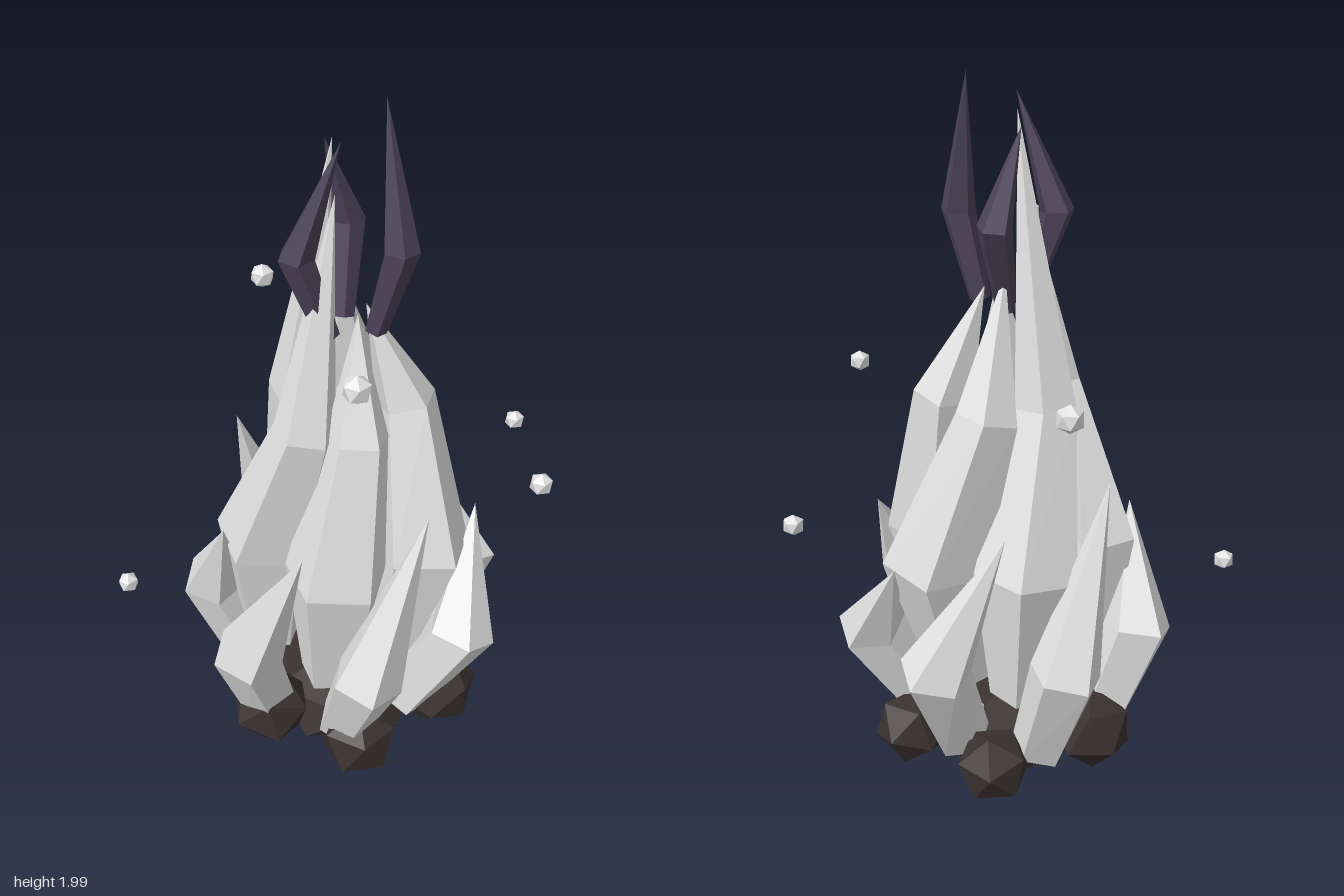
import * as THREE from 'three';

const material = (name, color) => {
  const m = new THREE.MeshStandardMaterial({ color, flatShading: true });
  m.name = name;
  return m;
};
const vec = (x, y, z) => new THREE.Vector3(x, y, z);
const polar = (deg, r, y) => {
  const a = THREE.MathUtils.degToRad(deg);
  return vec(Math.cos(a) * r, y, Math.sin(a) * r);
};
// Icosahedron standing on one corner
const icosahedron = (r) =>
  new THREE.IcosahedronGeometry(r, 0).rotateX(-Math.atan((1 + Math.sqrt(5)) / 2));

// Five-sided tongue through the given centres, rings square to the path, ending in a point
function tongue(centres, radii, facing) {
  const sides = 5, last = centres.length - 1, pts = [];
  const rings = centres.map((c, k) => {
    const along = centres[Math.min(k + 1, last)].clone().sub(centres[Math.max(k - 1, 0)]).normalize();
    const tilt = new THREE.Quaternion().setFromUnitVectors(vec(0, 1, 0), along);
    return Array.from({ length: sides }, (_, i) =>
      polar(facing + (i * 360) / sides, radii[k], 0).applyQuaternion(tilt).add(c));
  });
  const tri = (...v) => v.forEach((p) => pts.push(p.x, p.y, p.z));
  for (let i = 0; i < sides; i++) {
    const j = (i + 1) % sides;
    tri(centres[0], rings[0][i], rings[0][j]);
    for (let k = 0; k < last; k++) {
      const a = rings[k], b = rings[k + 1];
      tri(a[i], b[i], a[j]);
      if (radii[k + 1] > 0) tri(a[j], b[i], b[j]);
    }
  }
  const g = new THREE.BufferGeometry();
  g.setAttribute('position', new THREE.Float32BufferAttribute(pts, 3));
  g.computeVertexNormals();
  return g;
}

export function createModel() {
  const model = new THREE.Group();
  model.name = 'campfire';
  const coal = material('charred coal', 0x3b3230);
  const flame = material('pale flame', 0xe2e2e2);
  const smoke = material('dark violet smoke', 0x4d4359);
  const add = (name, geometry, mat, parent = model) => {
    const mesh = new THREE.Mesh(geometry, mat);
    mesh.name = name;
    parent.add(mesh);
    return mesh;
  };
  const group = (name) => {
    const g = new THREE.Group();
    g.name = name;
    model.add(g);
    return g;
  };

  // Flattened ember bed, one corner pointing down
  add('emberBed', icosahedron(0.26).scale(1, 0.47, 1), coal).position.set(0.03, 0.13, 0);

  // Ring of coals: x, y, z, radius
  const coals = group('coals');
  [
    [0.03, 0.185, 0.3, 0.115], [0.29, 0.2, 0.15, 0.125], [0.3, 0.19, -0.14, 0.11],
    [0.06, 0.2, -0.33, 0.105], [-0.21, 0.22, -0.18, 0.12], [-0.21, 0.21, 0.16, 0.12],
  ].forEach(([x, y, z, r], i) => {
    const rock = add('coal', icosahedron(r), coal, coals);
    rock.position.set(x, y, z);
    rock.rotation.set(i * 1.3, i * 0.9, i * 0.5);
  });

  // Outer flames: angle, belly distance, tip height, tip radius
  const outer = group('outerFlames');
  [
    [85, 0.385, 1.0, 0.37], [36, 0.405, 0.815, 0.4], [-13, 0.42, 0.77, 0.42], [-58, 0.4, 0.905, 0.35],
    [-111, 0.37, 1.0, 0.32], [-164, 0.35, 0.815, 0.32], [140, 0.36, 0.9, 0.34],
  ].forEach(([a, d, h, r]) => {
    add('outerFlame', tongue(
      [polar(a + 6, 0.25, 0.2), polar(a, d, 0.5), polar(a - 28, r, h)],
      [0.08, 0.1, 0], 90), flame, outer);
  });

  // Inner flames: belly angle and distance, shoulder angle and distance, tip point
  const inner = group('innerFlames');
  [
    [96, 0.2, 76, 0.165, [0.05, 1.48, 0.08]],
    [25, 0.255, 3, 0.195, [0.085, 1.46, 0.0]],
    [-35, 0.265, -66, 0.18, [0.03, 1.52, -0.07]],
    [-98, 0.21, -130, 0.12, [0.0, 1.91, -0.01]],
    [180, 0.19, 128, 0.145, [0.0, 1.78, 0.03]],
  ].forEach(([a, d, b, e, tip]) => {
    add('innerFlame', tongue(
      [polar(a + 5, 0.18, 0.34), polar(a, d, 0.73), polar(b, e, 1.16), vec(...tip)],
      [0.085, 0.145, 0.085, 0], 60), flame, inner);
  });

  // Smoke wisps: foot, belly and tip points
  const wisps = group('smokeWisps');
  [
    [[-0.02, 1.41, 0.06], [-0.1, 1.64, 0.065], [0.005, 1.94, 0.09]],
    [[0.1, 1.41, 0.05], [0.155, 1.64, 0.075], [0.125, 2.0, 0]],
    [[0.03, 1.41, -0.03], [0.055, 1.64, -0.12], [-0.01, 1.88, -0.07]],
  ].forEach((path) => {
    add('smokeWisp', tongue(path.map((p) => vec(...p)), [0.03, 0.047, 0], 90), smoke, wisps);
  });

  // Floating sparks: x, y, z, radius
  const sparks = group('sparks');
  [
    [-0.02, 1.53, 0.475, 0.037], [-0.13, 1.29, -0.475, 0.037], [0.47, 1.115, 0.36, 0.031],
    [0.58, 0.88, -0.23, 0.03], [-0.585, 0.64, 0.04, 0.03],
    [0.14, 0.24, 0.2, 0.03], [-0.13, 0.24, -0.15, 0.03], [0.12, 0.25, -0.15, 0.03],
  ].forEach(([x, y, z, r]) => {
    add('spark', icosahedron(r), flame, sparks).position.set(x, y, z);
  });

  return model;
}
